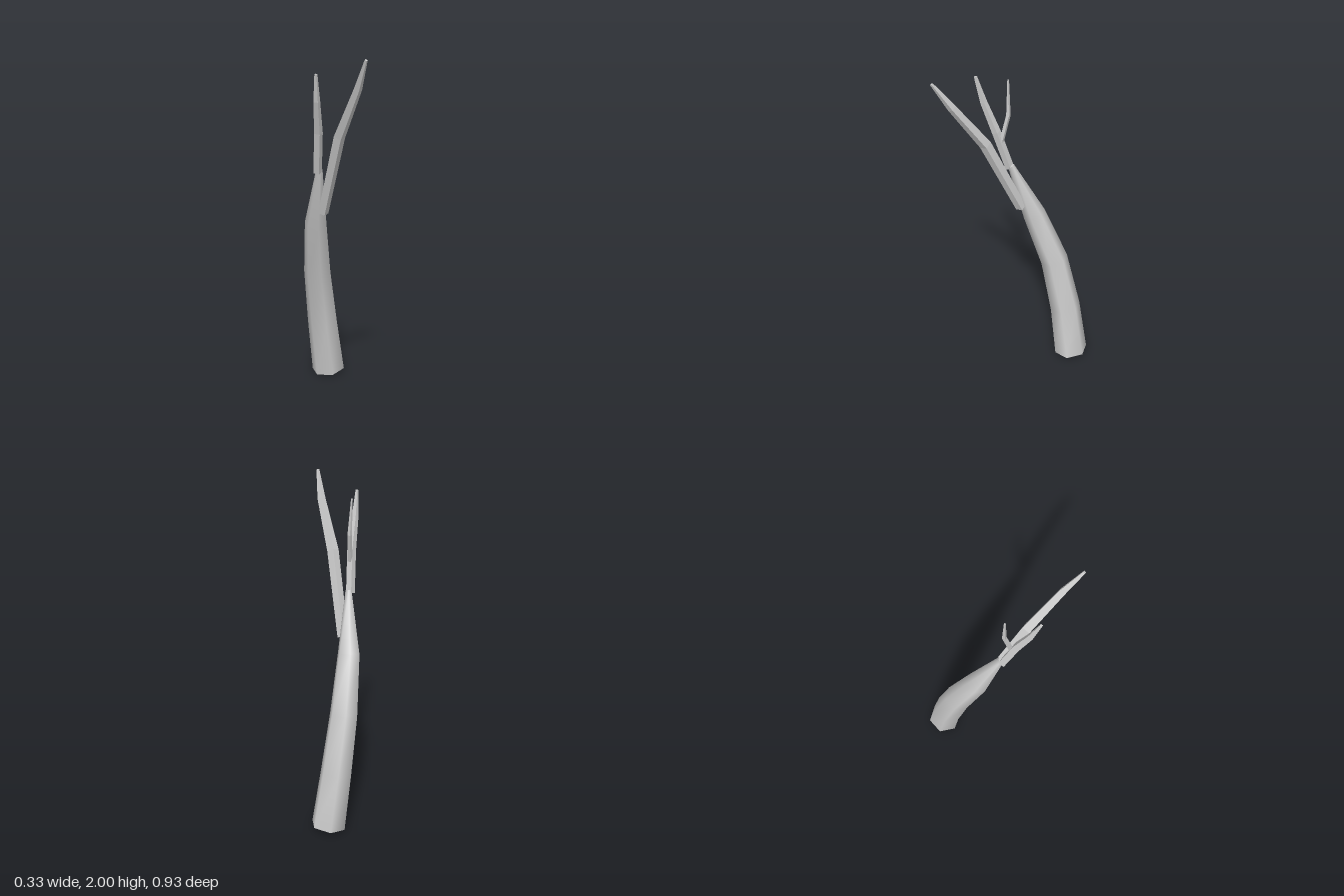
import * as THREE from 'three';

// Tapered limb: rings of n corners, square to a bent centre line.
// Each station is [x, y, z, radius]. Caps have their own corners, so their rims stay sharp.
function limb(name, n, stations, flatShading) {
  const points = stations.map(([x, y, z]) => new THREE.Vector3(x, y, z));
  const last = stations.length - 1;
  const pos = [], index = [];

  const addRing = (i) => {
    const first = pos.length / 3;
    const tangent = new THREE.Vector3();
    if (i > 0) tangent.add(points[i].clone().sub(points[i - 1]).normalize());
    if (i < last) tangent.add(points[i + 1].clone().sub(points[i]).normalize());
    tangent.normalize();
    const u = new THREE.Vector3(0, 0, 1).projectOnPlane(tangent).normalize();
    const v = tangent.clone().cross(u);
    for (let j = 0; j < n; j++) {
      const a = (j / n) * Math.PI * 2;
      const p = points[i].clone()
        .addScaledVector(u, Math.cos(a) * stations[i][3])
        .addScaledVector(v, Math.sin(a) * stations[i][3]);
      pos.push(p.x, p.y, p.z);
    }
    return first;
  };

  // sides
  for (let i = 0; i <= last; i++) addRing(i);
  for (let i = 0; i < last; i++) {
    for (let j = 0; j < n; j++) {
      const k = (j + 1) % n;
      const a = i * n + j, b = i * n + k, c = b + n, d = a + n;
      index.push(a, b, c, a, c, d);
    }
  }
  // end caps
  const bottom = addRing(0), top = addRing(last);
  for (let j = 1; j < n - 1; j++) {
    index.push(bottom, bottom + j + 1, bottom + j);
    index.push(top, top + j, top + j + 1);
  }

  const geometry = new THREE.BufferGeometry();
  geometry.setAttribute('position', new THREE.Float32BufferAttribute(pos, 3));
  geometry.setIndex(index);
  geometry.computeVertexNormals();
  const mesh = new THREE.Mesh(
    geometry,
    new THREE.MeshStandardMaterial({ color: 0xcccccc, flatShading })
  );
  mesh.name = name;
  return mesh;
}

export function createModel() {
  const tree = new THREE.Group();
  tree.name = 'leaningBareTree';

  // smooth six-sided trunk, curving forward as it thins
  tree.add(limb('trunk', 6, [
    [0.072, 0.016, -0.357, 0.106],
    [0.022, 0.355, -0.32, 0.096],
    [-0.03, 0.7, -0.252, 0.085],
    [-0.073, 1.03, -0.13, 0.068],
    [-0.088, 1.375, 0.01, 0.019],
  ], false));

  // long branch reaching to the front
  tree.add(limb('longBranch', 4, [
    [-0.05, 1.105, -0.042, 0.032],
    [-0.015, 1.57, 0.17, 0.034],
    [0.033, 1.84, 0.355, 0.024],
    [0.044, 1.994, 0.457, 0.009],
  ], true));

  // upper branch continuing the trunk
  tree.add(limb('upperBranch', 4, [
    [-0.1, 1.355, 0.014, 0.026],
    [-0.115, 1.59, 0.088, 0.026],
    [-0.142, 1.77, 0.152, 0.02],
    [-0.158, 1.922, 0.192, 0.009],
  ], true));

  // thin twig rising from the upper branch
  tree.add(limb('twig', 4, [
    [-0.103, 1.535, 0.06, 0.014],
    [-0.094, 1.7, 0.022, 0.013],
    [-0.105, 1.91, 0.02, 0.005],
  ], true));

  return tree;
}
